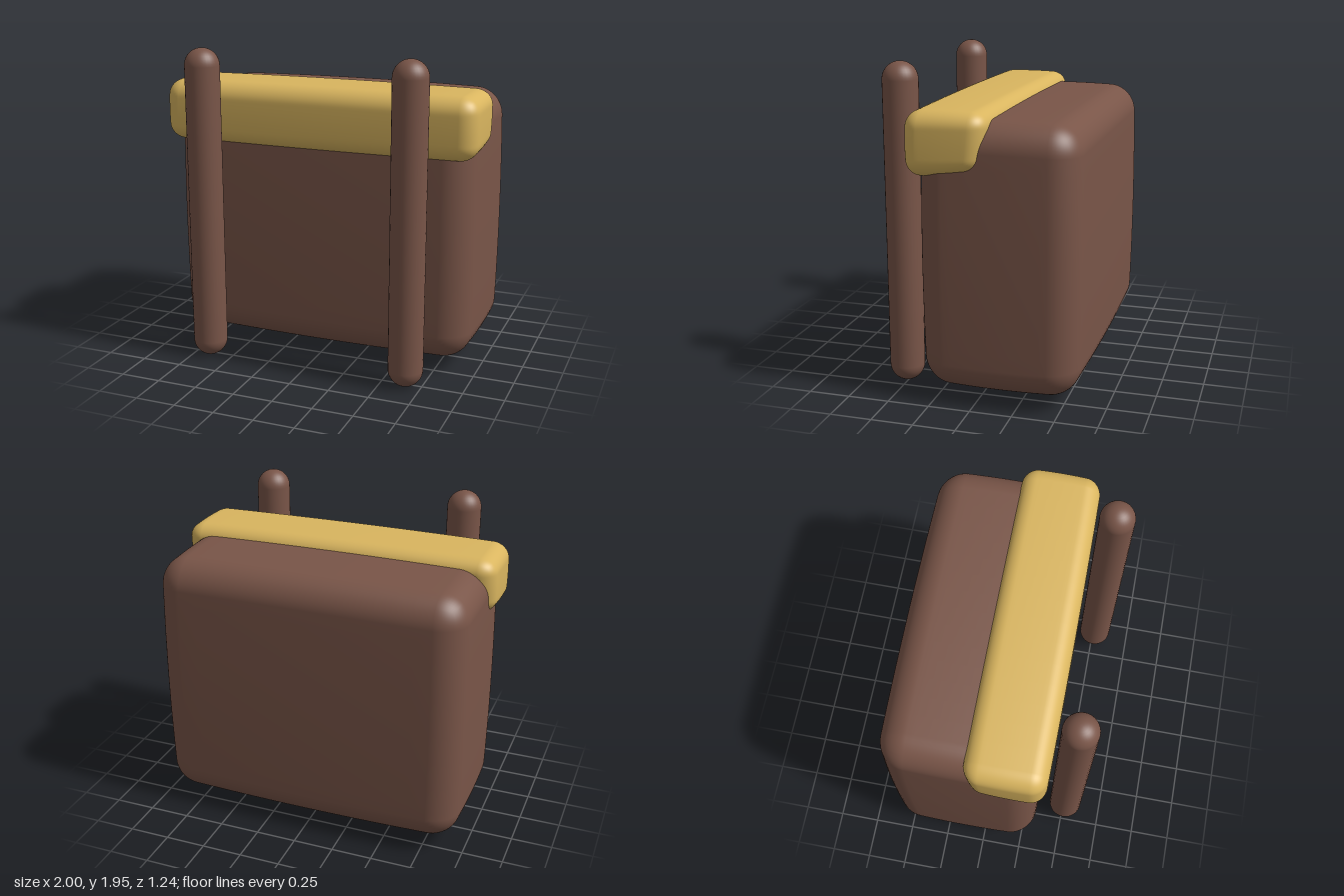
import * as THREE from 'three';
import { mergeVertices } from 'three/addons/utils/BufferGeometryUtils.js';

const brown = new THREE.MeshStandardMaterial({ color: 0x795548 });
brown.name = 'brown leather';
const tan = new THREE.MeshStandardMaterial({ color: 0xd9b55f });
tan.name = 'golden tan';

// Rounded box with gently bulging faces; warp(v, n) may reshape each point (n = -1..1 per axis)
function softBox(size, radius, bulge, warp) {
  const half = size.clone().multiplyScalar(0.5);
  const inner = half.clone().subScalar(radius);
  const g = new THREE.BoxGeometry(2, 2, 2, 28, 28, 28);
  g.deleteAttribute('uv');
  g.deleteAttribute('normal');
  const geo = mergeVertices(g, 1e-4);
  const pos = geo.attributes.position;
  const p = new THREE.Vector3(), core = new THREE.Vector3(), n = new THREE.Vector3();
  // Half of the grid lines go to the rounded rim, half to the flat face
  const spread = (u, i, h) => {
    const a = Math.abs(u);
    return Math.sign(u) * (a < 0.5 ? a * 2 * i : i + (a - 0.5) * 2 * (h - i));
  };
  for (let k = 0; k < pos.count; k++) {
    p.fromBufferAttribute(pos, k);
    for (const a of ['x', 'y', 'z']) p[a] = spread(p[a], inner[a], half[a]);
    core.copy(p).clamp(inner.clone().negate(), inner);
    p.sub(core).normalize().multiplyScalar(radius).add(core);
    n.copy(p).divide(half);
    p.x -= n.x * bulge * (n.y ** 2 + n.z ** 2) / 2;
    p.y -= n.y * bulge * (n.x ** 2 + n.z ** 2) / 2;
    p.z -= n.z * bulge * (n.x ** 2 + n.y ** 2) / 2;
    if (warp) warp(p, n);
    pos.setXYZ(k, p.x, p.y, p.z);
  }
  geo.computeVertexNormals();
  return geo;
}

export function createModel() {
  const model = new THREE.Group();
  model.name = 'backpack';
  const add = (parent, name, geo, mat, x, y, z) => {
    const mesh = new THREE.Mesh(geo, mat);
    mesh.name = name;
    mesh.position.set(x, y, z);
    parent.add(mesh);
  };

  // Main bag
  add(model, 'bag', softBox(new THREE.Vector3(1.94, 1.61, 0.965), 0.17, 0.025), brown, 0, 0.87, -0.1375);

  // Flap: underside rises and the rear edge leans forward toward the bottom
  const flap = softBox(new THREE.Vector3(2, 0.4, 0.505), 0.1, 0.015, (p, n) => {
    const low = (1 - n.y) / 2, rear = (1 - n.z) / 2;
    p.y += 0.04 * low * rear;
    p.z += 0.04 * low * rear;
  });
  add(model, 'flap', flap, tan, 0, 1.53, 0.1425);

  // Two shoulder straps with round ends
  const r = 0.106, low = 0.106, high = 1.845;
  for (const side of [-1, 1]) {
    const strap = new THREE.Group();
    strap.name = side > 0 ? 'leftStrap' : 'rightStrap';
    strap.position.set(side * 0.65, 0, 0.512);
    model.add(strap);
    add(strap, 'strapRod', new THREE.CylinderGeometry(r, r, high - low, 32), brown, 0, (low + high) / 2, 0);
    const cap = new THREE.SphereGeometry(r, 32, 10, 0, Math.PI * 2, 0, Math.PI / 2);
    add(strap, 'topCap', cap, brown, 0, high, 0);
    add(strap, 'bottomCap', cap.clone().rotateX(Math.PI), brown, 0, low, 0);
  }
  return model;
}
